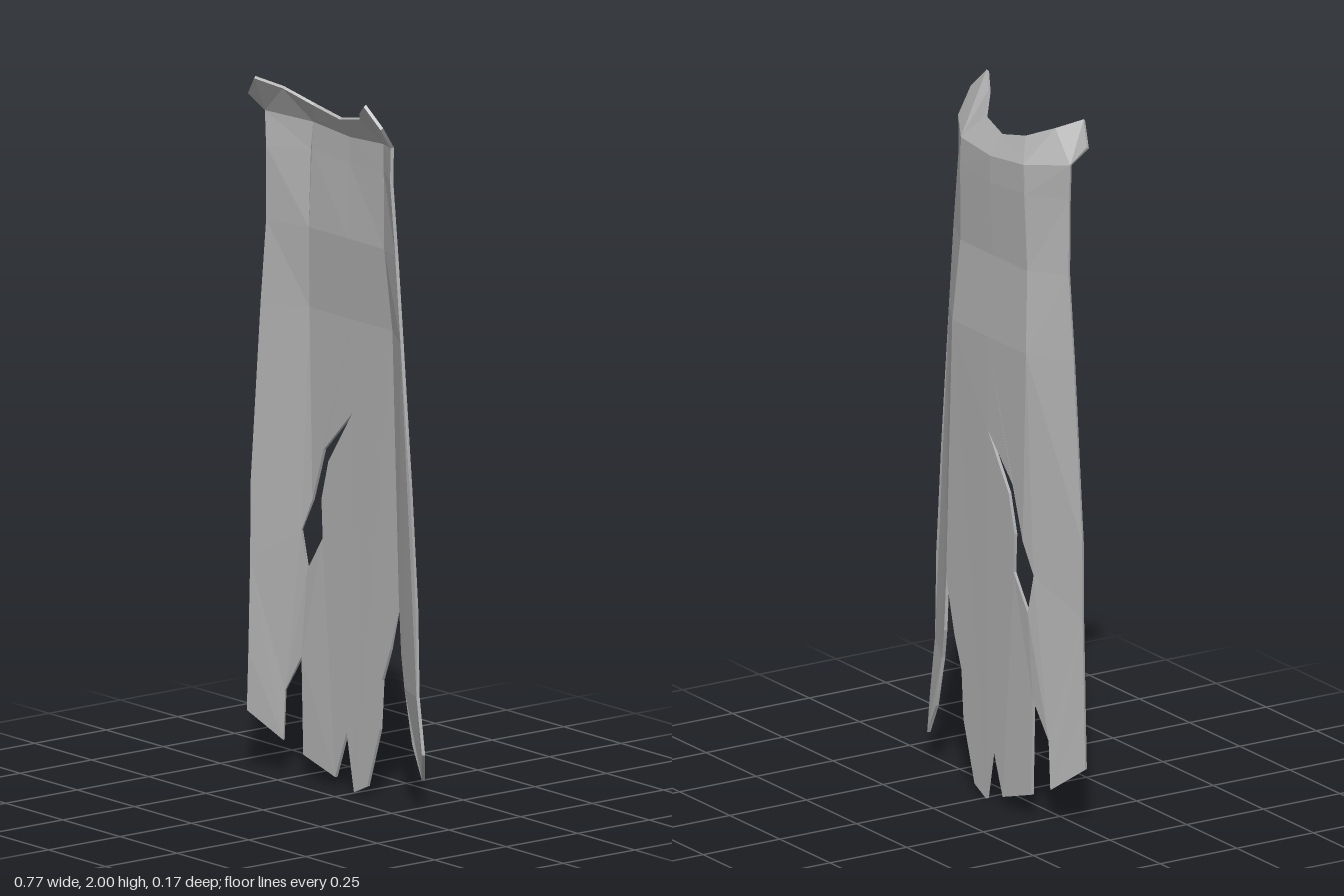
import * as THREE from 'three';

const THICK = 0.009;

// Depth of the hanging cloth: flat back, sides curling forward to the hem edges
function depth(x, y) {
  const edge = 0.375 - 0.045 * y;
  const t = THREE.MathUtils.clamp((Math.abs(x) - 0.205) / (edge - 0.205), 0, 1);
  return -0.078 + 0.078 * t;
}

// Joins outlined panels (counter-clockwise from the front) into one thin shell
function clothShell(panels) {
  const points = [], lookup = new Map(), faces = [];
  const pointId = ([x, y, z = depth(x, y)]) => {
    const key = [x, y, z].map((v) => v.toFixed(4)).join();
    if (!lookup.has(key)) {
      lookup.set(key, points.length);
      points.push(new THREE.Vector3(x, y, z));
    }
    return lookup.get(key);
  };
  for (const panel of panels) {
    const ids = panel.map(pointId);
    const flat = panel.map((p) => new THREE.Vector2(p[0], p[1]));
    for (const tri of THREE.ShapeUtils.triangulateShape(flat, [])) {
      const [a, b, c] = tri.map((i) => flat[i]);
      const area = (b.x - a.x) * (c.y - a.y) - (b.y - a.y) * (c.x - a.x);
      const f = tri.map((i) => ids[i]);
      faces.push(area < 0 ? f.reverse() : f);
    }
  }

  // Offset both skins along the averaged normals
  const sheet = new THREE.BufferGeometry().setFromPoints(points);
  sheet.setIndex(faces.flat());
  sheet.computeVertexNormals();
  const normals = points.map((_, i) => new THREE.Vector3().fromBufferAttribute(sheet.attributes.normal, i));
  const skin = (s) => points.map((p, i) => p.clone().addScaledVector(normals[i], s * THICK / 2));
  const n = points.length, index = [], edges = new Set();
  for (const [a, b, c] of faces) {
    index.push(a, b, c, c + n, b + n, a + n);
    [[a, b], [b, c], [c, a]].forEach((e) => edges.add(e.join()));
  }
  // Close the rim along every free edge
  for (const e of edges) {
    const [a, b] = e.split(',').map(Number);
    if (!edges.has(`${b},${a}`)) index.push(a, a + n, b + n, a, b + n, b);
  }
  const shell = new THREE.BufferGeometry().setFromPoints([...skin(1), ...skin(-1)]);
  shell.setIndex(index);
  const faceted = shell.toNonIndexed();
  faceted.computeVertexNormals();
  return faceted;
}

export function createModel() {
  const group = new THREE.Group();
  group.name = 'tornCape';
  const clothGrey = new THREE.MeshStandardMaterial({ color: 0xb0b0b0 });
  clothGrey.name = 'clothGrey';
  const panels = [];

  // Upper body rows: left edge, fold, middle, fold, right edge
  const rows = [
    [[-0.29, 1.88, 0.01], [-0.165, 1.86, -0.06], [-0.01, 1.845, -0.066], [0.145, 1.855, -0.06], [0.265, 1.875, 0.01]],
    [[-0.285, 1.78, 0.01], [-0.17, 1.78, -0.06], [-0.01, 1.77, -0.066], [0.145, 1.78, -0.06], [0.262, 1.78, 0.01]],
    [[-0.297, 1.57, 0], [-0.18, 1.56, -0.057], [-0.01, 1.56, -0.058], [0.152, 1.56, -0.057], [0.272, 1.57, 0]],
    [[-0.322, 1.33, 0], [-0.2, 1.33, -0.075], [-0.01, 1.33, -0.076], [0.165, 1.33, -0.075], [0.295, 1.33, 0]],
  ];
  // Narrow slits: the side panels stand slightly off the folds on the second row
  const slit = ([x, y, z]) => [x + Math.sign(x) * 0.004, y, z + 0.002];
  for (let r = 0; r < 3; r++) {
    for (let c = 0; c < 4; c++) {
      const corner = (row, col) => {
        const p = rows[row][col];
        const side = (c === 0 && col === 1) || (c === 3 && col === 3);
        return row === 1 && side ? slit(p) : p;
      };
      panels.push([corner(r, c), corner(r + 1, c), corner(r + 1, c + 1), corner(r, c + 1)]);
    }
  }

  // Flared collar with a raised corner at each shoulder
  const [neckL, foldL, mid, foldR, neckR] = rows[0];
  const top = [-0.01, 1.9, -0.03];
  const innerL = [-0.115, 1.922, -0.02], innerR = [0.095, 1.922, -0.015];
  const riseL = [-0.2, 1.96, 0.02], riseR = [0.17, 1.963, 0.045];
  panels.push(
    [foldL, mid, top, innerL],
    [mid, foldR, innerR, top],
    [foldL, innerL, riseL],
    [foldR, riseR, innerR],
    [neckL, foldL, riseL, [-0.25, 1.988, 0.08], [-0.313, 1.93, 0.05]],
    [foldR, neckR, [0.288, 1.94, 0.065], [0.235, 1.998, 0.082], riseR],
  );

  // Lower body: torn strips around the long tear and the ragged hem
  const [edgeL, lowL, lowMid, lowR, edgeR] = rows[3];
  const tearTop = [-0.015, 1.065], tearSide = [-0.19, 0.79], tearEnd = [-0.21, 0.59];
  const notchL = [-0.225, 0.345], notchMid = [-0.04, 0.165], notchR = [0.19, 0.585];
  panels.push(
    [lowL, edgeL, [-0.365, 0.82, 0], [-0.367, 0.6, 0], [-0.375, 0.345, 0], [-0.385, 0.175, -0.003],
      [-0.29, 0.1, -0.055], [-0.285, 0.24, -0.057], notchL, tearEnd, [-0.225, 0.7], tearSide],
    [lowMid, lowL, tearSide, [-0.14, 0.94], tearTop],
    [tearTop, [-0.12, 0.91], [-0.15, 0.8], [-0.145, 0.69], tearEnd, notchL,
      [-0.22, 0.07, -0.07], [-0.09, 0.03], notchMid],
    [lowR, lowMid, tearTop, notchMid, [-0.008, 0.003], [0.05, 0.03], [0.105, 0.2],
      [0.115, 0.34], [0.15, 0.43], notchR],
    [edgeR, lowR, notchR, [0.2, 0.43], [0.23, 0.34], [0.27, 0.19, -0.06], [0.32, 0.1, -0.055],
      [0.385, 0.19, -0.003], [0.365, 0.35, 0], [0.36, 0.6, 0], [0.335, 0.92, 0]],
  );

  const cape = new THREE.Mesh(clothShell(panels), clothGrey);
  cape.name = 'capeCloth';
  group.add(cape);
  return group;
}
